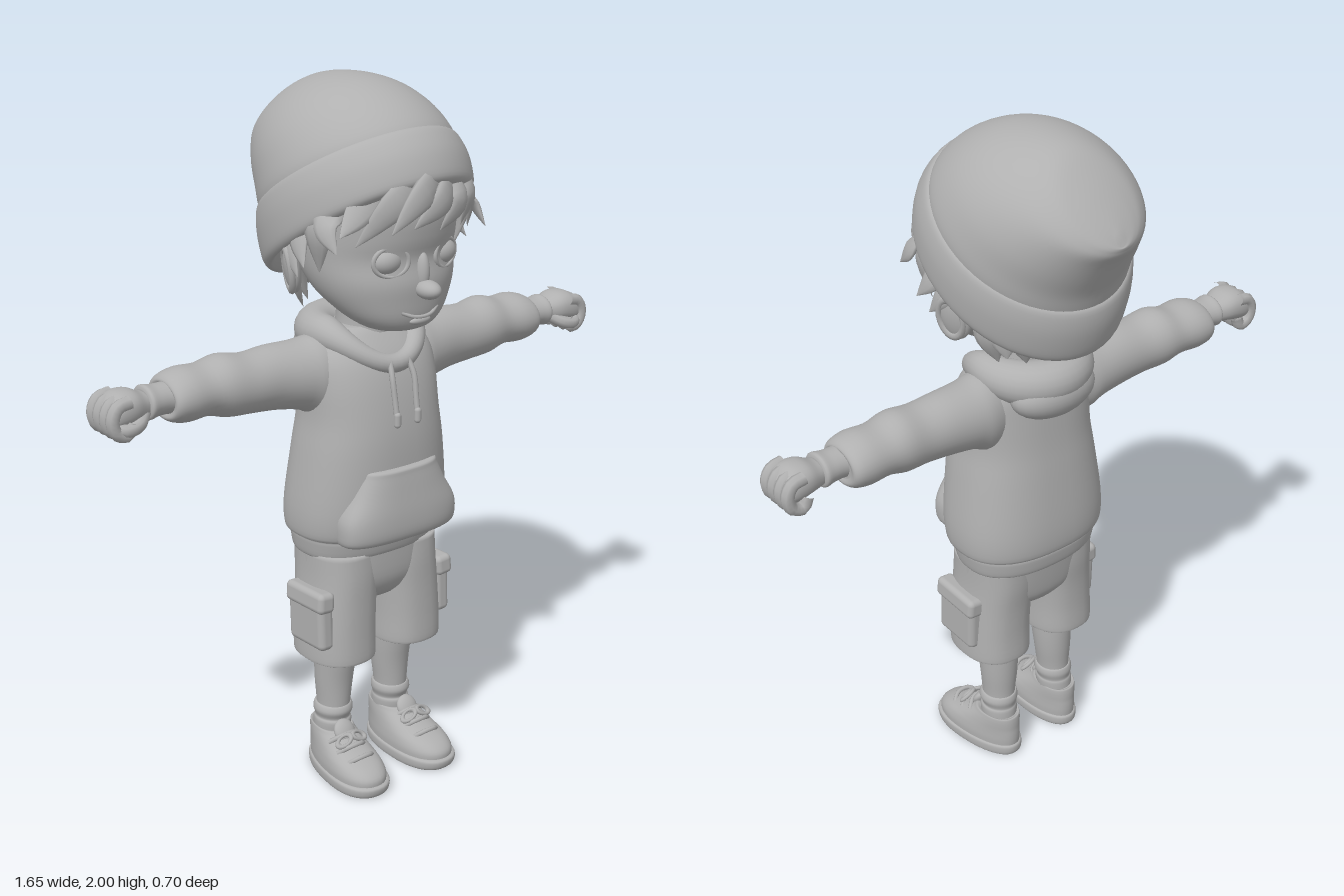
import * as THREE from 'three';
import { mergeVertices } from 'three/addons/utils/BufferGeometryUtils.js';
import { RoundedBoxGeometry } from 'three/addons/geometries/RoundedBoxGeometry.js';

const V = (x, y, z) => new THREE.Vector3(x, y, z);

// Catmull-Rom refinement of rows of numbers
function refine(rows, k) {
  const out = [];
  for (let i = 0; i < rows.length - 1; i++) {
    const a = rows[Math.max(i - 1, 0)], b = rows[i], c = rows[i + 1], d = rows[Math.min(i + 2, rows.length - 1)];
    for (let s = 0; s < k; s++) {
      const t = s / k;
      out.push(b.map((p, j) => {
        const cubic = 3 * (p - c[j]) + d[j] - a[j];
        const square = 2 * a[j] - 5 * p + 4 * c[j] - d[j];
        return p + 0.5 * t * (c[j] - a[j] + t * (square + t * cubic));
      }));
    }
  }
  out.push(rows[rows.length - 1]);
  return out;
}

// Skin over rings {c, u, v}; u x v points along the direction of travel
function skin(rings, { n = 32, e = 2, closed = false } = {}) {
  const pos = [], idx = [], sup = (t) => Math.sign(t) * Math.abs(t) ** (2 / e);
  for (const { c, u, v } of rings)
    for (let i = 0; i < n; i++) {
      const a = (i / n) * Math.PI * 2;
      const p = c.clone().addScaledVector(u, sup(Math.cos(a))).addScaledVector(v, sup(Math.sin(a)));
      pos.push(p.x, p.y, p.z);
    }
  const m = rings.length;
  for (let r = 0; r < (closed ? m : m - 1); r++)
    for (let i = 0; i < n; i++) {
      const a = r * n + i, b = r * n + (i + 1) % n, q = ((r + 1) % m) * n;
      const c = q + (i + 1) % n, d = q + i;
      idx.push(a, b, c, a, c, d);
    }
  if (!closed) {
    pos.push(...rings[0].c.toArray(), ...rings[m - 1].c.toArray());
    for (let i = 0; i < n; i++) {
      const j = (i + 1) % n;
      idx.push(m * n, j, i, m * n + 1, (m - 1) * n + i, (m - 1) * n + j);
    }
  }
  const g = new THREE.BufferGeometry();
  g.setAttribute('position', new THREE.Float32BufferAttribute(pos, 3));
  g.setIndex(idx);
  g.computeVertexNormals();
  return g;
}

// Upright body: rows [front z, front y, back z, back y, half width, centre x]
const tilted = (rows, o) => skin(refine(rows, 4).map(([zf, yf, zb, yb, w, x]) => ({
  c: V(x, (yf + yb) / 2, (zf + zb) / 2), u: V(0, (yf - yb) / 2, (zf - zb) / 2), v: V(w, 0, 0) })), o);
// Upright body with level rings: rows [y, front z, back z, half width, centre x]
const upright = (rows, o) => tilted(rows.map(([y, f, b, w, x = 0]) => [f, y, b, y, w, x]), o);
// Sideways body: rows [x, top y, bottom y, centre z, half depth]
const sideways = (rows, o) => skin(refine(rows, 4).map(([x, t, b, z, r]) => ({
  c: V(x, (t + b) / 2, z), u: V(0, (t - b) / 2, 0), v: V(0, 0, r) })), o);

// Pointed hair lock along three points, flattened against the head
function lock(p, w) {
  const curve = new THREE.CatmullRomCurve3(p.map((q) => V(...q)));
  const rings = [];
  for (let i = 0; i <= 10; i++) {
    const t = i / 10, c = curve.getPoint(t), T = curve.getTangent(t);
    const N = V(c.x, 0, c.z - 0.04);
    N.addScaledVector(T, -N.dot(T)).normalize();
    const s = 0.02 + Math.sin(Math.PI * (0.22 + 0.78 * t));
    rings.push({ c, u: N.clone().multiplyScalar(0.36 * w * s), v: T.clone().cross(N).multiplyScalar(w * s) });
  }
  return skin(rings, { n: 10 });
}

const tube = (pts, r) => new THREE.TubeGeometry(new THREE.CatmullRomCurve3(pts.map((q) => V(...q))), 14, r, 8);
const ball = (x, y, z, a, b, c) => new THREE.SphereGeometry(1, 28, 18).scale(a, b, c).translate(x, y, z);

// Mirror image across x = 0 with the corner order restored
function mirrored(g) {
  const m = mergeVertices(g.clone()).scale(-1, 1, 1);
  const ix = m.index.array;
  for (let i = 0; i < ix.length; i += 3) [ix[i], ix[i + 1]] = [ix[i + 1], ix[i]];
  return m;
}

export function createModel() {
  const model = new THREE.Group();
  const clay = new THREE.MeshStandardMaterial({ color: 0xb0b0b0 });
  clay.name = 'clay grey';
  const add = (name, g) => {
    const mesh = new THREE.Mesh(g, clay);
    mesh.name = name;
    model.add(mesh);
  };
  const pair = (name, g) => {
    add(name + 'Left', g);
    add(name + 'Right', mirrored(g));
  };

  // Head and face
  add('head', upright([[1.355, 0.21, 0.12, 0.045], [1.368, 0.25, 0.08, 0.095], [1.4, 0.27, 0.02, 0.14], [1.45, 0.278, -0.06, 0.18],
    [1.5, 0.282, -0.11, 0.202], [1.56, 0.274, -0.15, 0.213], [1.62, 0.288, -0.18, 0.217], [1.7, 0.29, -0.19, 0.217],
    [1.8, 0.24, -0.17, 0.2], [1.88, 0.15, -0.1, 0.12]], { n: 48, e: 2.1 }));
  add('neck', upright([[1.28, 0.12, -0.06, 0.09], [1.36, 0.12, -0.05, 0.078], [1.44, 0.13, -0.05, 0.08]]));
  add('nose', ball(0, 1.482, 0.296, 0.03, 0.025, 0.042));
  add('noseBridge', ball(0, 1.525, 0.268, 0.02, 0.055, 0.026));
  add('mouth', tube([[-0.06, 1.422, 0.262], [-0.03, 1.41, 0.275], [0, 1.407, 0.279], [0.03, 1.41, 0.275], [0.06, 1.422, 0.262]], 0.005));
  add('lowerLip', ball(0, 1.394, 0.264, 0.035, 0.012, 0.014));
  pair('eye', ball(0.09, 1.56, 0.235, 0.046, 0.036, 0.036));
  pair('eyelid', new THREE.TorusGeometry(0.048, 0.007, 8, 32).scale(1, 0.8, 1).rotateY(0.32).translate(0.09, 1.56, 0.255));
  pair('ear', ball(0, 0, 0, 0.022, 0.068, 0.045).rotateY(0.4).rotateZ(-0.15).translate(0.232, 1.52, 0.02));
  pair('earRim', new THREE.TorusGeometry(0.042, 0.01, 8, 24).scale(0.85, 1.35, 1).rotateY(Math.PI / 2 + 0.4).rotateZ(-0.15).translate(0.245, 1.52, 0.022));

  // Fringe, side locks and nape hair
  [[[0.06, 1.78, 0.27], [-0.04, 1.745, 0.325], [-0.14, 1.65, 0.32], 0.042],
    [[0.02, 1.78, 0.27], [-0.1, 1.73, 0.3], [-0.19, 1.61, 0.235], 0.045],
    [[0.1, 1.78, 0.25], [0.02, 1.72, 0.325], [-0.07, 1.655, 0.322], 0.04],
    [[0.06, 1.78, 0.26], [0.09, 1.71, 0.31], [0.03, 1.635, 0.305], 0.038],
    [[0.09, 1.78, 0.24], [0.15, 1.715, 0.275], [0.13, 1.63, 0.27], 0.042],
    [[0.13, 1.78, 0.21], [0.2, 1.7, 0.22], [0.215, 1.6, 0.2], 0.045],
    [[-0.1, 1.77, 0.23], [-0.18, 1.7, 0.24], [-0.25, 1.645, 0.25], 0.04]]
    .forEach(([a, b, c, w], i) => add('fringe' + i, lock([a, b, c], w)));
  [[[0.2, 1.72, 0.14], [0.24, 1.65, 0.15], [0.225, 1.53, 0.13], 0.045],
    [[0.2, 1.7, 0.06], [0.25, 1.62, 0.08], [0.275, 1.55, 0.13], 0.04],
    [[0.19, 1.72, 0.17], [0.245, 1.66, 0.185], [0.25, 1.6, 0.235], 0.036],
    [[0.21, 1.64, 0.02], [0.25, 1.58, 0.04], [0.265, 1.515, 0.09], 0.034]]
    .forEach(([a, b, c, w], i) => pair('sideLock' + i, lock([a, b, c], w)));
  for (let i = 0; i < 9; i++) {
    const a = (i / 4 - 1) * 1.35, s = Math.sin(a), c = Math.cos(a), d = (i % 2) * 0.03;
    add('napeLock' + i, lock([[0.17 * s, 1.56, -0.02 - 0.12 * c], [0.18 * s, 1.47, -0.02 - 0.12 * c],
      [(0.15 + d) * s, 1.385 + d, -0.03 - (0.09 + d) * c]], 0.045));
  }

  // Knitted hat: folded brim, then a crown leaning back to a soft point
  add('hatBrim', tilted([[0.27, 1.8, -0.17, 1.5, 0.235, 0], [0.3, 1.755, -0.205, 1.435, 0.258, 0], [0.32, 1.765, -0.228, 1.43, 0.272, 0],
    [0.324, 1.79, -0.245, 1.455, 0.28, 0], [0.3, 1.845, -0.262, 1.52, 0.282, 0], [0.26, 1.888, -0.262, 1.575, 0.272, 0],
    [0.235, 1.895, -0.245, 1.59, 0.255, 0]], { n: 56 }));
  add('hatCrown', tilted([[0.26, 1.86, -0.24, 1.54, 0.258, 0], [0.242, 1.897, -0.256, 1.585, 0.266, 0], [0.19, 1.94, -0.272, 1.63, 0.257, 0],
    [0.12, 1.975, -0.3, 1.68, 0.238, 0], [0.04, 1.996, -0.33, 1.73, 0.206, 0], [-0.06, 2, -0.352, 1.76, 0.165, 0],
    [-0.16, 1.982, -0.358, 1.775, 0.118, 0], [-0.24, 1.925, -0.36, 1.782, 0.075, 0], [-0.305, 1.86, -0.36, 1.785, 0.04, 0],
    [-0.343, 1.815, -0.358, 1.787, 0.012, 0]], { n: 56 }));

  // Hooded sweater
  add('sweater', upright([[0.72, 0.14, -0.09, 0.18], [0.7, 0.155, -0.105, 0.198], [0.705, 0.168, -0.118, 0.21], [0.745, 0.178, -0.125, 0.218],
    [0.758, 0.18, -0.125, 0.22], [0.772, 0.2, -0.14, 0.234], [0.85, 0.212, -0.142, 0.236], [1, 0.215, -0.127, 0.217], [1.1, 0.207, -0.115, 0.202],
    [1.2, 0.187, -0.107, 0.2], [1.27, 0.16, -0.1, 0.19], [1.325, 0.12, -0.08, 0.15], [1.345, 0.1, -0.05, 0.1]], { n: 48, e: 2.4 }));
  add('frontPocket', upright([[0.757, 0.2, 0.1, 0.165], [0.765, 0.237, 0.1, 0.185], [0.79, 0.25, 0.1, 0.192], [0.84, 0.25, 0.1, 0.188],
    [0.9, 0.242, 0.1, 0.155], [0.95, 0.234, 0.1, 0.132], [0.968, 0.229, 0.1, 0.125], [0.972, 0.2, 0.1, 0.115]], { n: 48, e: 2.7 }));
  const hood = [];
  for (let i = 0; i < 48; i++) {
    const a = (i / 48) * Math.PI * 2, s = Math.sin(a), c = Math.cos(a), f = Math.max(c, 0), b = Math.max(-c, 0);
    const r = 0.046 - 0.02 * f + 0.018 * b;
    hood.push({ c: V(0.13 * s, 1.325 - 0.075 * f * f - 0.02 * b, 0.03 + 0.135 * c), u: V(0.25 * r * s, r, 0.4 * r * c), v: V(s * r, -0.3 * r, c * r) });
  }
  add('hoodRoll', skin(hood, { n: 20, closed: true }));
  add('hoodBag', ball(0, 1.272, -0.095, 0.135, 0.075, 0.078));
  pair('drawstring', tube([[0.03, 1.265, 0.18], [0.037, 1.22, 0.2], [0.036, 1.16, 0.211], [0.035, 1.105, 0.22]], 0.008));
  pair('drawstringTip', new THREE.CapsuleGeometry(0.01, 0.025, 4, 10).translate(0.035, 1.11, 0.22));
  pair('sleeve', sideways([[0.1, 1.33, 1.1, 0.02, 0.08], [0.17, 1.325, 1.1, 0.015, 0.095], [0.22, 1.318, 1.125, 0.01, 0.092], [0.3, 1.318, 1.14, 0.005, 0.085],
    [0.38, 1.312, 1.148, 0.005, 0.084], [0.45, 1.322, 1.152, 0, 0.088], [0.51, 1.308, 1.168, -0.003, 0.083], [0.57, 1.31, 1.165, -0.003, 0.088],
    [0.61, 1.3, 1.172, -0.003, 0.084], [0.627, 1.285, 1.185, -0.002, 0.07], [0.622, 1.275, 1.2, 0, 0.05]]));
  pair('cuff', sideways([[0.59, 1.285, 1.195, 0.005, 0.05], [0.63, 1.283, 1.2, 0.005, 0.047], [0.66, 1.283, 1.2, 0.005, 0.05],
    [0.685, 1.287, 1.195, 0.005, 0.054], [0.692, 1.275, 1.205, 0.005, 0.042]]));

  // Hands closed into fists
  pair('palm', sideways([[0.67, 1.27, 1.21, 0.005, 0.035], [0.7, 1.275, 1.205, 0.005, 0.045], [0.735, 1.29, 1.2, 0.006, 0.058],
    [0.775, 1.288, 1.192, 0.006, 0.06], [0.803, 1.265, 1.195, 0.006, 0.052], [0.81, 1.245, 1.205, 0.006, 0.035]], { e: 2.3 }));
  for (let i = 0; i < 4; i++) {
    const z = -0.042 + i * 0.032;
    pair('finger' + i, tube([[0.755, 1.27, z], [0.79, 1.262, z], [0.806, 1.23, z], [0.795, 1.195, z], [0.765, 1.185, z], [0.75, 1.215, z]], 0.018));
  }
  pair('thumb', tube([[0.7, 1.225, 0.03], [0.735, 1.205, 0.058], [0.775, 1.2, 0.06], [0.79, 1.215, 0.035]], 0.018));

  // Shorts with side pockets
  add('shortsSeat', upright([[0.55, 0.12, -0.06, 0.1], [0.58, 0.145, -0.08, 0.165], [0.63, 0.162, -0.09, 0.2], [0.72, 0.165, -0.1, 0.206]], { e: 2.4 }));
  pair('shortsLeg', upright([[0.48, 0.13, -0.04, 0.075, 0.115], [0.395, 0.152, -0.065, 0.09, 0.117], [0.386, 0.163, -0.073, 0.097, 0.118],
    [0.392, 0.17, -0.079, 0.102, 0.118], [0.47, 0.168, -0.077, 0.101, 0.117], [0.56, 0.166, -0.08, 0.1, 0.112],
    [0.64, 0.165, -0.088, 0.1, 0.106], [0.71, 0.16, -0.09, 0.1, 0.105]], { e: 2.4 }));
  pair('cargoPocket', new RoundedBoxGeometry(0.05, 0.165, 0.155, 4, 0.018).rotateX(-0.04).translate(0.21, 0.52, 0.06));
  pair('cargoFlap', new RoundedBoxGeometry(0.055, 0.06, 0.168, 4, 0.016).rotateX(-0.04).rotateZ(0.08).translate(0.213, 0.583, 0.06));

  // Legs, rolled socks and laced shoes
  pair('leg', upright([[0.1, 0.07, -0.035, 0.045, 0.108], [0.2, 0.075, -0.03, 0.047, 0.106], [0.28, 0.08, -0.034, 0.055, 0.104],
    [0.36, 0.092, -0.035, 0.06, 0.103], [0.5, 0.11, -0.03, 0.065, 0.105]]));
  pair('sock', upright([[0.1, 0.075, -0.04, 0.05, 0.109], [0.15, 0.08, -0.038, 0.053, 0.108], [0.163, 0.074, -0.034, 0.049, 0.107],
    [0.185, 0.083, -0.038, 0.056, 0.107], [0.203, 0.078, -0.034, 0.052, 0.106], [0.205, 0.07, -0.028, 0.045, 0.106]]));
  // Shoes widen toward the toe and turn slightly outward
  const shoe = (rows, e) => {
    const g = upright(rows, { n: 40, e }), p = g.attributes.position;
    for (let i = 0; i < p.count; i++) p.setX(i, p.getX(i) * (0.84 + 0.85 * p.getZ(i)));
    g.rotateY(0.07).translate(0.11, 0, 0).computeVertexNormals();
    return g;
  };
  pair('shoeSole', shoe([[0.002, 0.24, -0.05, 0.074], [0, 0.255, -0.057, 0.082], [0.01, 0.264, -0.062, 0.086], [0.028, 0.266, -0.062, 0.086],
    [0.034, 0.255, -0.056, 0.08]], 2.3));
  pair('shoeUpper', shoe([[0.025, 0.256, -0.056, 0.08], [0.05, 0.255, -0.058, 0.081], [0.072, 0.23, -0.058, 0.078], [0.09, 0.185, -0.057, 0.074],
    [0.108, 0.14, -0.057, 0.07], [0.125, 0.105, -0.056, 0.066], [0.136, 0.09, -0.053, 0.062], [0.13, 0.075, -0.042, 0.052]], 2.2));
  pair('shoeTongue', ball(0, 0, 0, 0.034, 0.035, 0.016).rotateX(-0.55).translate(0.117, 0.135, 0.09));
  for (let i = 0; i < 3; i++) {
    const y = 0.088 + i * 0.018, z = 0.19 - i * 0.04;
    pair('lace' + i, tube([[0.073, y - 0.012, z - 0.025], [0.1, y + 0.008, z - 0.004], [0.14, y + 0.008, z - 0.004], [0.17, y - 0.012, z - 0.025]], 0.007));
  }
  for (const s of [-1, 1])
    pair('laceLoop' + (s > 0 ? 'Outer' : 'Inner'), new THREE.TorusGeometry(0.017, 0.006, 8, 16).scale(1.4, 0.8, 1)
      .rotateX(-0.9).rotateZ(-0.4 * s).translate(0.12 + s * 0.026, 0.128, 0.128));
  return model;
}
